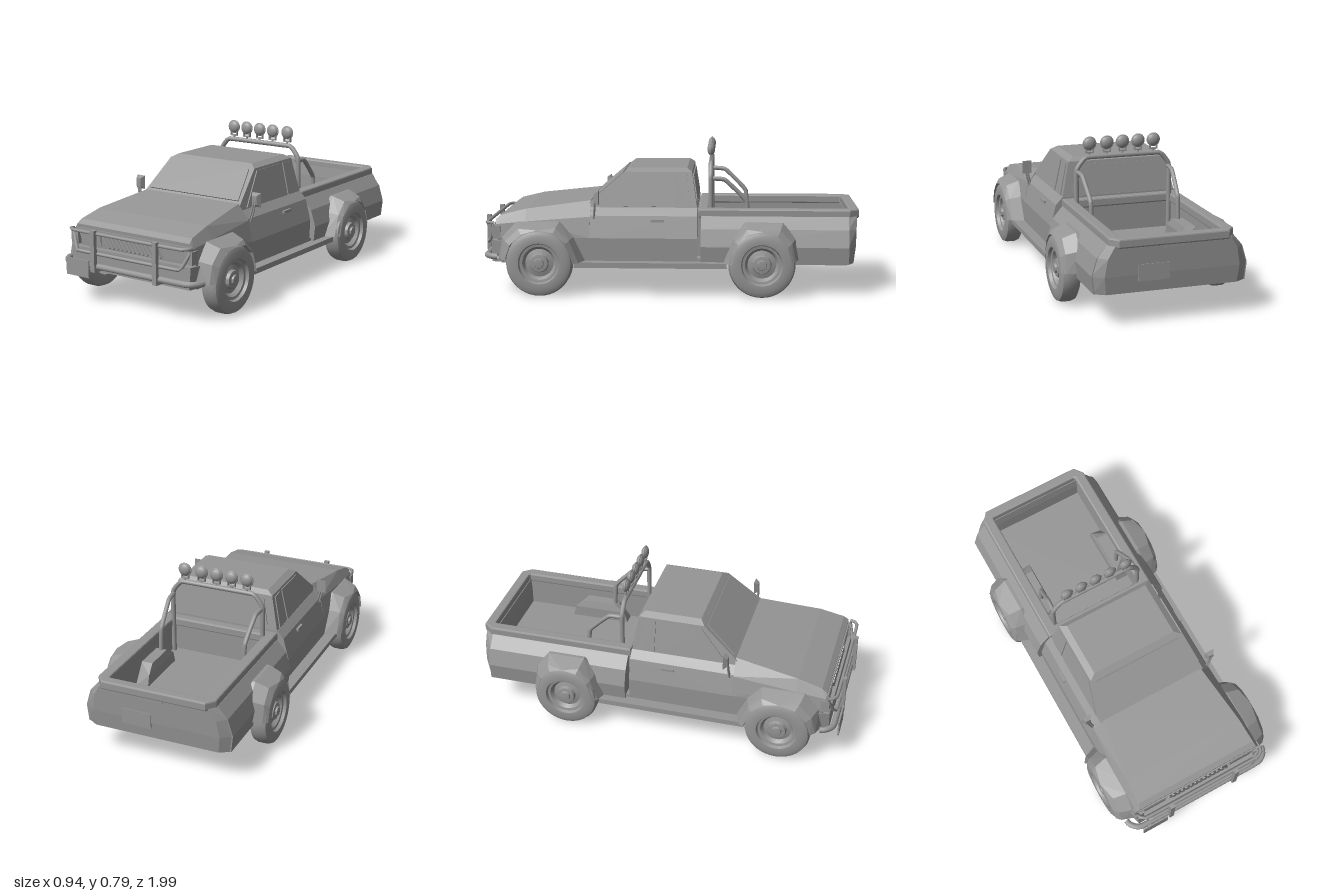
import * as THREE from 'three';
import { ConvexGeometry } from 'three/addons/geometries/ConvexGeometry.js';
import { mergeGeometries, toCreasedNormals } from 'three/addons/utils/BufferGeometryUtils.js';

const V = (x, y, z) => new THREE.Vector3(x, y, z);

export function createModel() {
  const model = new THREE.Group();
  model.name = 'pickupTruck';
  const grey = new THREE.MeshStandardMaterial({ color: 0x969696, side: THREE.DoubleSide });
  grey.name = 'grey';

  const add = (name, geo, parent = model) => {
    const m = new THREE.Mesh(geo, grey);
    m.name = name;
    parent.add(m);
    return m;
  };
  const box = (name, w, h, d, x, y, z, parent) => {
    const m = add(name, new THREE.BoxGeometry(w, h, d), parent);
    m.position.set(x, y, z);
    return m;
  };
  const hull = (pts) => new ConvexGeometry(pts.map((p) => V(...p)));
  const mirror = (pts) => pts.flatMap(([x, y, z]) => [[x, y, z], [-x, y, z]]);
  const tube = (name, pts, r, parent, closed = false) => add(name, new THREE.TubeGeometry(
    new THREE.CatmullRomCurve3(pts.map((p) => V(...p)), closed, 'catmullrom', 0.15),
    pts.length * 8, r, 10, closed), parent);
  // thin convex plate pushed slightly out of the surface
  const plate = (name, pts, n, parent) => {
    const o = V(...n).normalize().multiplyScalar(0.006);
    return add(name, hull([...pts, ...pts.map(([x, y, z]) => [x + o.x, y + o.y, z + o.z])]), parent);
  };

  // nose and hood
  add('hood', hull(mirror([
    [0.375, 0.17, 0.9], [0.385, 0.3, 0.905], [0.375, 0.37, 0.915], [0.358, 0.396, 0.918],
    [0.352, 0.417, 0.89], [0.343, 0.449, 0.76], [0.3, 0.49, 0.42], [0.36, 0.41, 0.42], [0.385, 0.3, 0.42],
    [0.38, 0.17, 0.42], [0.375, 0.385, 0.76]])));
  add('frontBumper', hull(mirror([
    [0.37, 0.17, 0.94], [0.38, 0.285, 0.94], [0.395, 0.285, 0.88], [0.385, 0.17, 0.88]])));

  // doors and cabin
  add('cabLower', hull(mirror([0.43, -0.145].flatMap((z) =>
    [[0.38, 0.165, z], [0.385, 0.3, z], [0.355, 0.415, z], [0.318, 0.455, z]]))));
  add('cabin', hull(mirror([
    [0.319, 0.44, 0.472], [0.319, 0.44, -0.146], [0.275, 0.64, 0.24], [0.275, 0.64, -0.116],
    [0.24, 0.66, 0.215], [0.24, 0.66, -0.09]])));
  box('cabBedJoint', 0.62, 0.26, 0.04, 0, 0.3, -0.155);
  plate('windshield', mirror([[0.248, 0.632, 0.2493], [0.288, 0.498, 0.4047]]), [0, 0.232, 0.2]);
  plate('rearWindow', mirror([[0.23, 0.62, -0.119], [0.26, 0.48, -0.14]]), [0, 0.03, -0.2]);

  // underside and bed tub
  box('chassis', 0.76, 0.03, 1.82, 0, 0.18, -0.02);
  const tub = new THREE.Shape([
    [0.395, 0.17], [0.405, 0.26], [0.378, 0.35], [0.325, 0.412], [0.27, 0.412], [0.27, 0.26],
    [-0.27, 0.26], [-0.27, 0.412], [-0.325, 0.412], [-0.378, 0.35], [-0.405, 0.26], [-0.395, 0.17],
  ].map((p) => new THREE.Vector2(...p)));
  const tubGeo = new THREE.ExtrudeGeometry(tub, { depth: 0.775, bevelEnabled: false });
  add('bedSides', tubGeo.translate(0, 0, -0.94));
  box('bedFrontWall', 0.6, 0.2, 0.03, 0, 0.33, -0.175);
  add('tailgate', hull(mirror([
    [0.395, 0.17, -0.935], [0.405, 0.26, -0.935], [0.378, 0.35, -0.935], [0.325, 0.412, -0.94],
    [0.34, 0.17, -0.968], [0.35, 0.26, -0.978], [0.335, 0.35, -0.982], [0.3, 0.412, -0.985]])));

  // raised rim round the bed
  const rim = new THREE.Shape([
    [-0.315, 0.16], [0.315, 0.16], [0.315, 0.945], [0.28, 0.99], [-0.28, 0.99], [-0.315, 0.945],
  ].map((p) => new THREE.Vector2(...p)));
  rim.holes.push(new THREE.Path([
    [-0.272, 0.195], [-0.272, 0.94], [-0.26, 0.952], [0.26, 0.952], [0.272, 0.94], [0.272, 0.195],
  ].map((p) => new THREE.Vector2(...p))));
  add('bedRim', new THREE.ExtrudeGeometry(rim, {
    depth: 0.032, bevelEnabled: true, bevelThickness: 0.008, bevelSize: 0.008, bevelSegments: 2,
  }).rotateX(-Math.PI / 2).translate(0, 0.41, 0));
  box('tailgateHandle', 0.1, 0.015, 0.012, 0, 0.396, -0.985);
  box('rearPlate', 0.16, 0.085, 0.008, 0.1, 0.27, -0.98);

  // wheel profile, revolved about the axle and open on the inner side
  const wheelGeo = toCreasedNormals(new THREE.LatheGeometry([
    [0, 0.005], [0.1, -0.005], [0.108, -0.05], [0.145, -0.053], [0.168, -0.04], [0.175, -0.02],
    [0.175, 0.022], [0.167, 0.042], [0.145, 0.052], [0.108, 0.05], [0.102, 0.034], [0.088, 0.032],
    [0.074, 0.012], [0.05, 0.018], [0.045, 0.034], [0.026, 0.036], [0.023, 0.046], [0, 0.048],
  ].map((p) => new THREE.Vector2(...p)), 40), 0.6).rotateZ(-Math.PI / 2);

  // faceted arch flare, one convex block per segment
  const flare = (cz, k) => {
    const path = [[0.225, 0.02], [0.205, 0.13], [0.125, 0.208], [-0.1, 0.208], [-0.175, 0.13], [-0.235, 0]];
    const rings = path.map(([z, y]) => {
      const f = 0.178 / Math.hypot(z, y);
      const at = (t, x) => [x, 0.177 + y * (f + (1 - f) * t), cz + k * z * (f + (1 - f) * t)];
      return [at(0, 0.36), at(0, 0.469), at(0.5, 0.447), at(1, 0.378), at(1, 0.36)];
    });
    // extra ring over the crown keeps the opening round
    const crown = rings[2].map((p, i) => [p[0], i < 2 ? 0.353 : (p[1] + rings[3][i][1]) / 2,
      (p[2] + rings[3][i][2]) / 2]);
    rings.splice(3, 0, crown);
    return mergeGeometries(rings.slice(1).map((r, i) => hull([...rings[i], ...r])));
  };

  const glassX = (y) => 0.319 - (y - 0.44) * 0.22;
  const sideGlass = (pts) => pts.map(([z, y]) => [glassX(y), y, z]);
  for (const s of [1, -1]) {
    const side = new THREE.Group();
    side.name = s > 0 ? 'leftSide' : 'rightSide';
    side.scale.x = s;
    model.add(side);

    for (const [label, z, k] of [['front', 0.68, 1], ['rear', -0.485, -0.88]]) {
      add(label + 'Wheel', wheelGeo, side).position.set(0.418, 0.175, z);
      add(label + 'Flare', flare(z, k), side);
    }
    box('runningBoard', 0.08, 0.028, 0.8, 0.4, 0.165, 0.1, side);
    plate('doorWindow', sideGlass([[0.37, 0.462], [0.225, 0.628], [0.005, 0.628], [0.005, 0.458]]),
      [1, 0.22, 0], side);
    plate('quarterWindow', sideGlass([[-0.022, 0.458], [-0.022, 0.628], [-0.09, 0.625], [-0.108, 0.458]]),
      [1, 0.22, 0], side);
    box('doorHandle', 0.02, 0.014, 0.07, 0.363, 0.39, 0.065, side);

    // mirror on two thin stays
    add('mirror', hull([0.352, 0.404].flatMap((x) => [0.476, 0.55].map((y) => [x, y, 0.372]))
      .concat([0.364, 0.392].flatMap((x) => [0.49, 0.536].map((y) => [x, y, 0.395])))), side);
    for (const dx of [0, 0.012]) {
      tube('mirrorStay', [[0.348 + dx, 0.4, 0.4], [0.362 + dx, 0.45, 0.395], [0.376 + dx, 0.52, 0.392]],
        0.005, side);
    }

    // roll bar braces and wheel boxes in the bed
    tube('rollBarBrace', [[0.255, 0.605, -0.215], [0.25, 0.597, -0.29], [0.24, 0.48, -0.405],
      [0.24, 0.26, -0.42]], 0.012, side);
    add('wheelBox', hull([[0.2, 0.25, -0.66], [0.2, 0.25, -0.33], [0.275, 0.25, -0.66], [0.275, 0.25, -0.33],
      [0.2, 0.32, -0.64], [0.2, 0.32, -0.35], [0.21, 0.36, -0.58], [0.21, 0.36, -0.41],
      [0.275, 0.36, -0.58], [0.275, 0.36, -0.41]]), side);

    // lights and bull bar uprights
    plate('headlight', [[0.2, 0.3, 0.916], [0.2, 0.358, 0.918], [0.34, 0.358, 0.918], [0.325, 0.3, 0.916]],
      [0, 0, 1], side);
    box('cornerLight', 0.045, 0.066, 0.045, 0.362, 0.328, 0.913, side);
    box('bullBarUpright', 0.026, 0.215, 0.022, 0.197, 0.287, 0.984, side);
    box('bullBarMount', 0.026, 0.018, 0.08, 0.197, 0.187, 0.945, side);
  }

  // grille with slanted slats
  box('grilleTopTrim', 0.72, 0.012, 0.012, 0, 0.372, 0.918);
  for (let i = 0; i < 13; i++) {
    box('grilleSlat', 0.014, 0.07, 0.016, -0.162 + i * 0.027, 0.325, 0.92).rotation.z = 0.65;
  }

  // bull bar loop, bumper tube and front plate
  tube('bullBarLoop', [[-0.38, 0.376, 0.925], [-0.34, 0.376, 0.968], [0.34, 0.376, 0.968], [0.38, 0.376, 0.925],
    [0.33, 0.272, 0.955], [0.3, 0.272, 0.968], [-0.3, 0.272, 0.968], [-0.33, 0.272, 0.955]], 0.009, model, true);
  tube('bumperTube', [[-0.425, 0.206, 0.9], [-0.42, 0.206, 0.925], [-0.36, 0.206, 0.966], [0.36, 0.206, 0.966],
    [0.42, 0.206, 0.925], [0.425, 0.206, 0.9]], 0.016);
  box('frontPlate', 0.148, 0.09, 0.008, -0.296, 0.19, 0.992);

  // roll bar and its row of lamps
  tube('rollBar', [[-0.26, 0.26, -0.215], [-0.26, 0.61, -0.215], [-0.215, 0.676, -0.215], [-0.19, 0.682, -0.215],
    [0.19, 0.682, -0.215], [0.215, 0.676, -0.215], [0.26, 0.61, -0.215], [0.26, 0.26, -0.215]], 0.013);
  for (const x of [-0.17, -0.083, 0.004, 0.091, 0.187]) {
    const lamp = new THREE.Group();
    lamp.name = 'roofLamp';
    lamp.position.set(x, 0.754, -0.215);
    model.add(lamp);
    add('lampBody', new THREE.SphereGeometry(0.034, 20, 12).scale(1, 1, 0.6), lamp);
    add('lampRing', new THREE.TorusGeometry(0.033, 0.005, 8, 24), lamp);
    box('lampBracket', 0.044, 0.007, 0.014, 0, -0.048, 0, lamp);
    for (const s of [-1, 1]) box('lampBracketArm', 0.006, 0.022, 0.014, s * 0.019, -0.037, 0, lamp);
    box('lampStem', 0.008, 0.03, 0.008, 0, -0.06, 0, lamp);
  }
  return model;
}
